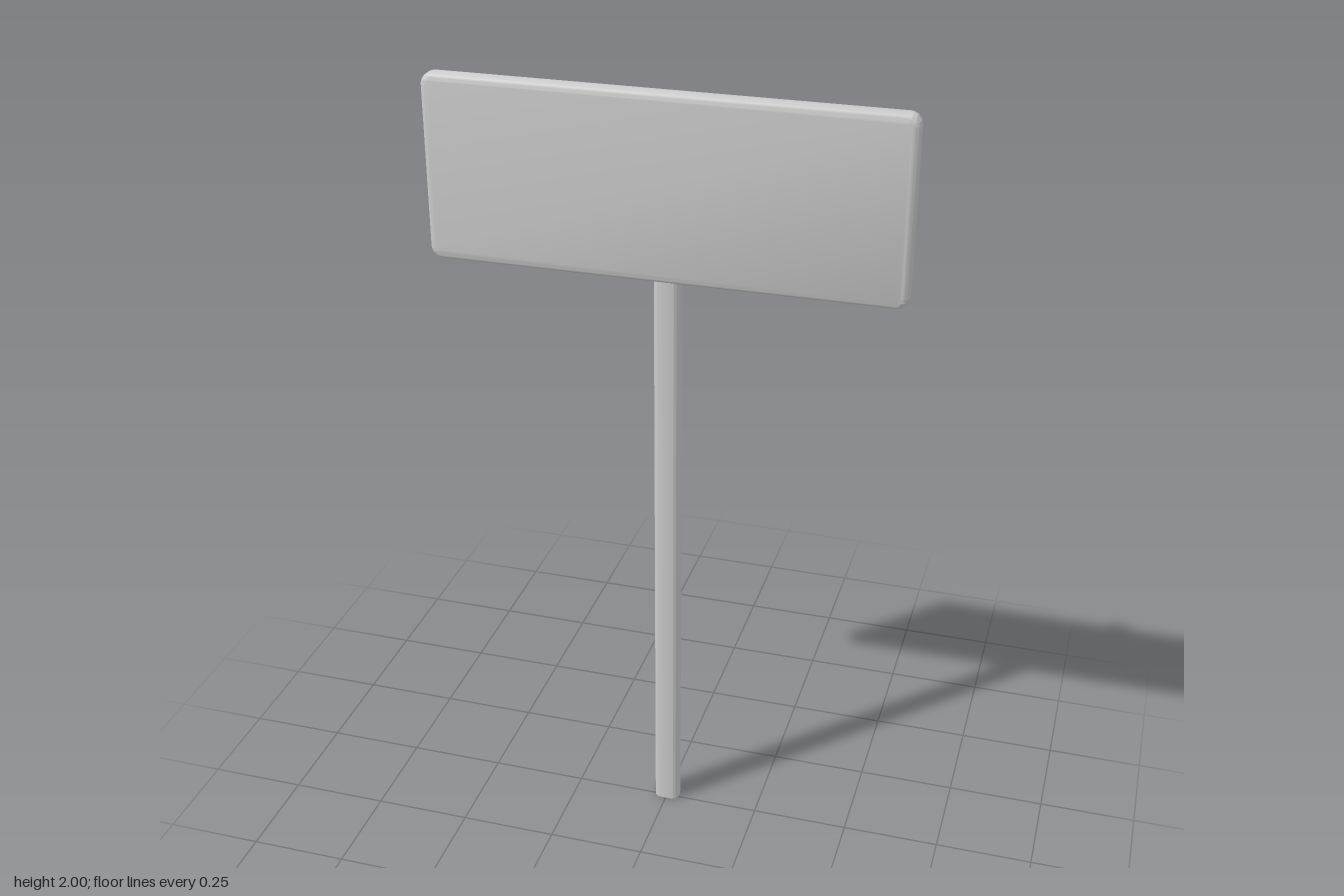
import * as THREE from 'three';
import { toCreasedNormals } from 'three/addons/utils/BufferGeometryUtils.js';

const material = new THREE.MeshStandardMaterial({ color: 0xcccccc });

// Rounded rectangle centred on the origin
function roundedRect(width, height, r) {
  const x = width / 2, y = height / 2;
  const s = new THREE.Shape();
  s.absarc(x - r, y - r, r, 0, Math.PI / 2);
  s.absarc(-x + r, y - r, r, Math.PI / 2, Math.PI);
  s.absarc(-x + r, -y + r, r, Math.PI, Math.PI * 1.5);
  s.absarc(x - r, -y + r, r, Math.PI * 1.5, Math.PI * 2);
  return s;
}

// Extrusion whose total depth and outline include the bevel; it starts at z = 0
function extrude(shape, depth, bevel, bevelSegments) {
  const geometry = new THREE.ExtrudeGeometry(shape, {
    depth: depth - 2 * bevel,
    bevelEnabled: bevel > 0,
    bevelThickness: bevel,
    bevelSize: bevel,
    bevelOffset: -bevel,
    bevelSegments,
    curveSegments: 8,
  });
  geometry.translate(0, 0, bevel);
  return toCreasedNormals(geometry, 0.7);
}

function addPart(group, name, geometry, x = 0, y = 0, z = 0) {
  const mesh = new THREE.Mesh(geometry, material);
  mesh.name = name;
  mesh.position.set(x, y, z);
  group.add(mesh);
}

export function createModel() {
  const group = new THREE.Group();
  group.name = 'signpost';

  // Board with softly rounded edges
  const board = extrude(roundedRect(1.162, 0.455, 0.03), 0.049, 0.016, 4);
  addPart(group, 'signBoard', board, 0, 1.7725, 0.001);

  // Upright post, a little wider than deep, set into the back of the board
  const post = extrude(roundedRect(0.066, 0.049, 0.019), 1.965, 0, 0);
  post.rotateX(-Math.PI / 2);
  addPart(group, 'post', post, 0, 0, -0.0105);

  // V-shaped straps that hold the post against the board
  const strap = new THREE.Shape();
  strap.moveTo(-0.18, -0.003);
  strap.lineTo(-0.115, -0.003);
  strap.lineTo(0, 0.033);
  strap.lineTo(0.115, -0.003);
  strap.lineTo(0.18, -0.003);
  strap.lineTo(0.012, 0.048);
  strap.lineTo(0, 0.05);
  strap.lineTo(-0.012, 0.048);
  const strapGeometry = extrude(strap, 0.036, 0.003, 2);
  strapGeometry.rotateX(-Math.PI / 2);
  [['lowerStrap', 1.628], ['upperStrap', 1.818]].forEach(([name, y]) => {
    addPart(group, name, strapGeometry, 0, y, 0);
  });

  return group;
}
